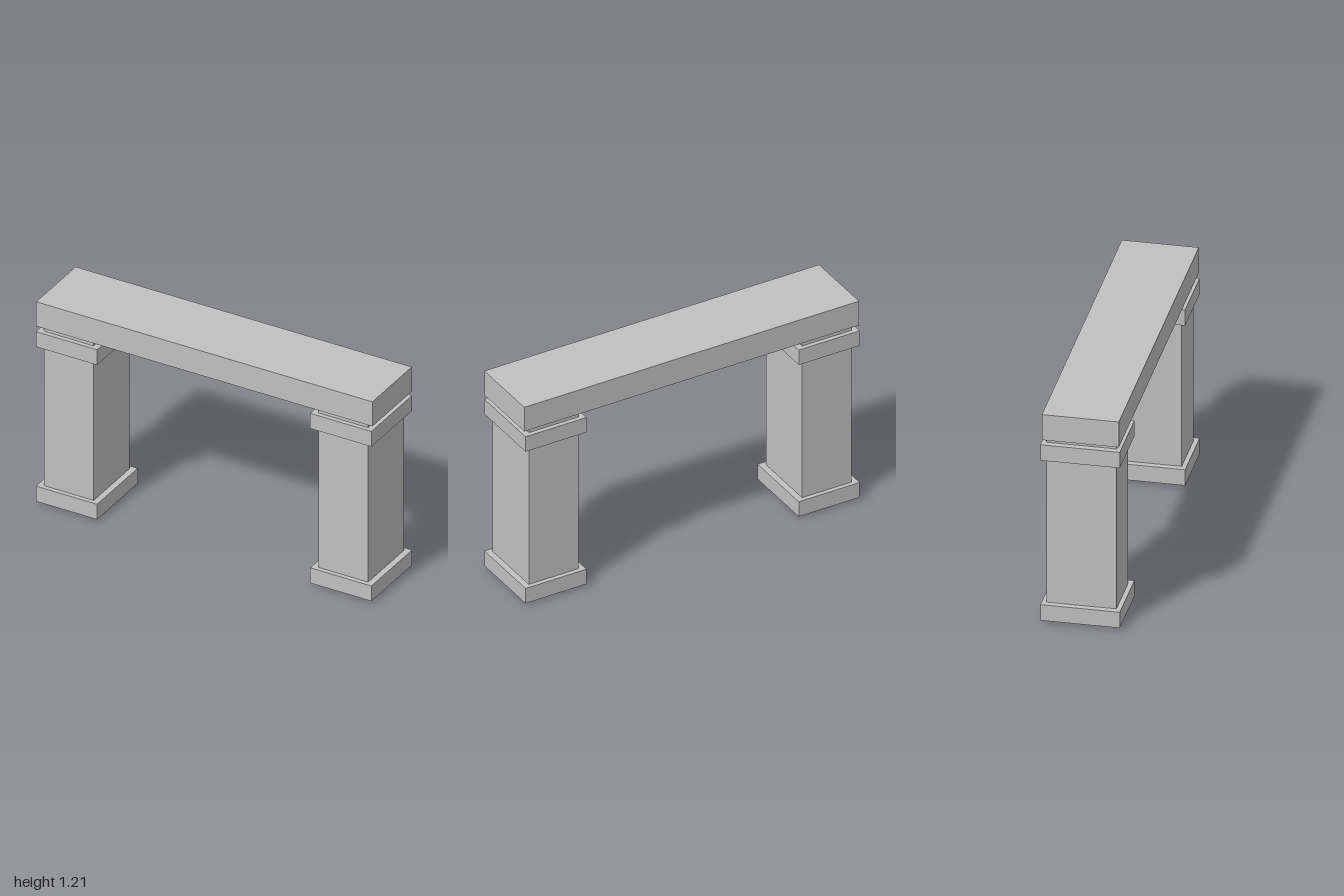
import * as THREE from 'three';

const stone = new THREE.MeshStandardMaterial({ color: 0xc0c0c0 });
stone.name = 'grey stone';

// Box from its centre x, width, y range and z range
function block(name, x, width, y0, y1, z0, z1) {
  const mesh = new THREE.Mesh(new THREE.BoxGeometry(width, y1 - y0, z1 - z0), stone);
  mesh.name = name;
  mesh.position.set(x, (y0 + y1) / 2, (z0 + z1) / 2);
  return mesh;
}

// Square pillar with a base and a capital band around the shaft
function pillar(name, x) {
  const group = new THREE.Group();
  group.name = name;
  group.position.x = x;
  group.add(
    block('shaft', 0, 0.295, 0, 1.058, -0.184, 0.184),
    block('base', 0, 0.364, 0.012, 0.103, -0.209, 0.209),
    block('capital', 0, 0.364, 0.938, 1.029, -0.209, 0.209)
  );
  return group;
}

export function createModel() {
  const model = new THREE.Group();
  model.name = 'stoneGateway';
  model.add(
    pillar('leftPillar', 0.815),
    pillar('rightPillar', -0.817),
    // Lintel resting on both shafts
    block('lintel', 0, 2, 1.058, 1.205, -0.201, 0.204)
  );
  return model;
}
